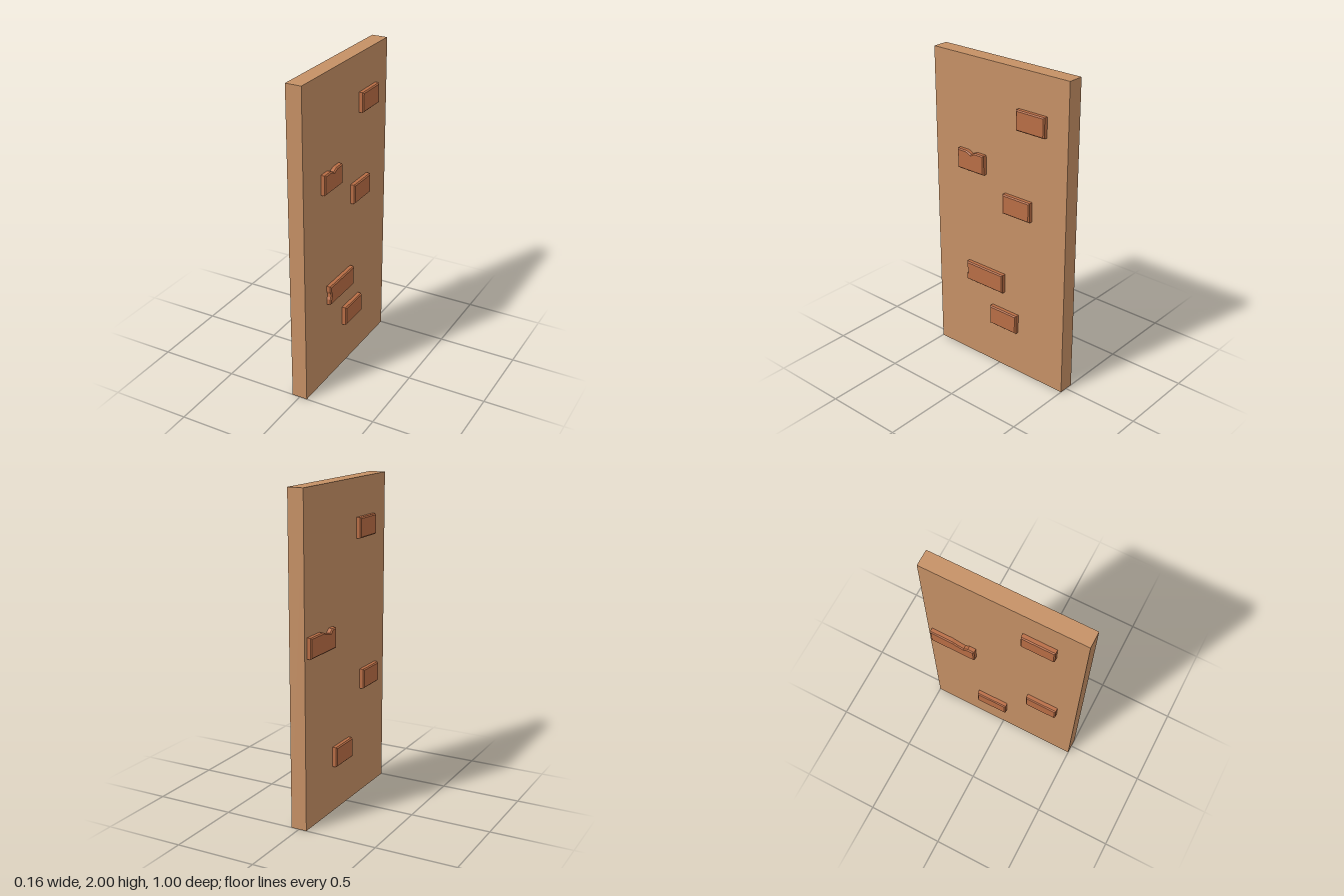
import * as THREE from 'three';

const HEIGHT = 0.125;
const BEVEL = 0.007;

// One bevelled brick on the +x (side = 1) or -x (side = -1) face of the wall.
// outline: [z, y] corners, going around the brick.
function makeBrick(name, side, outline, material) {
  const shape = new THREE.Shape(outline.map(([z, y]) => new THREE.Vector2(-side * z, y)));
  const geometry = new THREE.ExtrudeGeometry(shape, {
    depth: 0.04, bevelEnabled: true, bevelSegments: 1,
    bevelSize: BEVEL, bevelThickness: BEVEL, bevelOffset: -BEVEL,
  });
  geometry.translate(0, 0, 0.08 - 0.04 - BEVEL); // back is sunk into the wall
  geometry.rotateY(side * Math.PI / 2);
  const mesh = new THREE.Mesh(geometry, material);
  mesh.name = name;
  return mesh;
}

export function createModel() {
  const plaster = new THREE.MeshStandardMaterial({ color: 0xc59065 });
  plaster.name = 'tan plaster';
  const clay = new THREE.MeshStandardMaterial({ color: 0xb86d45 });
  clay.name = 'red clay';

  const group = new THREE.Group();
  group.name = 'wallPanel';

  const wall = new THREE.Mesh(new THREE.BoxGeometry(0.1, 2, 1), plaster);
  wall.name = 'wall';
  wall.position.y = 1;
  group.add(wall);

  // side, z from, z to, bottom y, chips in the top edge [z, drop], chips in the +z end [inset, height]
  const bricks = [
    [1, -0.352, -0.147, 1.64],
    [1, 0.1, 0.305, 1.29, [[0.235, 0], [0.217, 0.007], [0.2, 0.016], [0.183, 0.007], [0.165, 0]]],
    [1, -0.252, -0.047, 1.09],
    [1, -0.047, 0.247, 0.54, [], [[0, 0.035], [0.008, 0.05], [0.009, 0.07], [0, 0.09]]],
    [1, -0.154, 0.055, 0.29],
    [-1, 0.121, 0.328, 1.64],
    [-1, -0.475, -0.18, 1.04, [[-0.222, 0], [-0.25, 0.022], [-0.29, 0.013], [-0.33, 0]]],
    [-1, 0.172, 0.376, 0.69],
    [-1, -0.178, 0.028, 0.29],
  ];
  bricks.forEach(([side, z0, z1, y, topChip = [], endChip = []], i) => {
    const top = y + HEIGHT;
    const outline = [
      [z0, y], [z1, y],
      ...endChip.map(([inset, h]) => [z1 - inset, y + h]),
      [z1, top],
      ...topChip.map(([z, drop]) => [z, top - drop]),
      [z0, top],
    ];
    group.add(makeBrick((side > 0 ? 'leftBrick' : 'rightBrick') + (i + 1), side, outline, clay));
  });

  return group;
}
